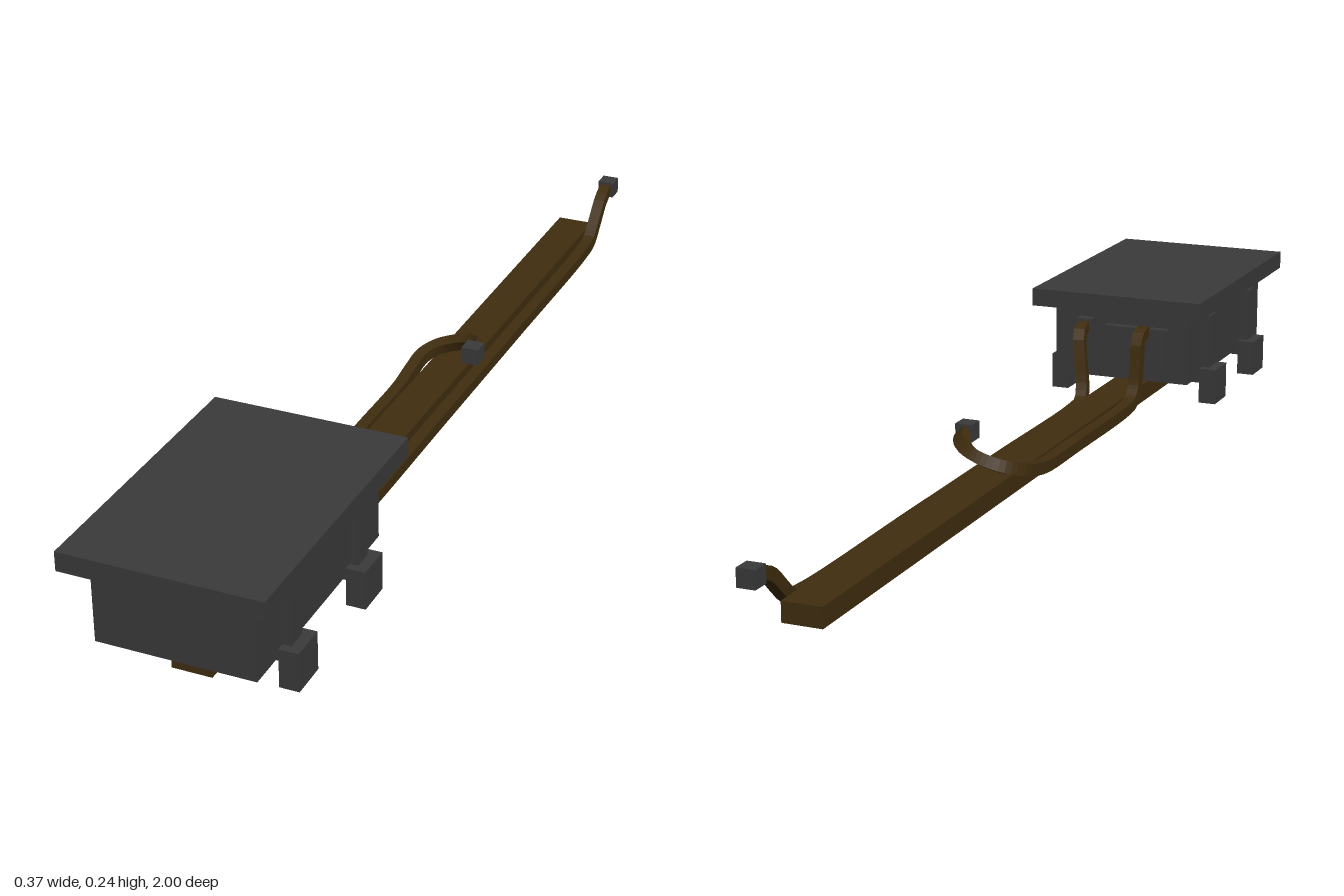
import * as THREE from 'three';

const grey = new THREE.MeshStandardMaterial({ color: 0x3a3a3a });
grey.name = 'dark grey';
const brown = new THREE.MeshStandardMaterial({ color: 0x402d0f });
brown.name = 'dark brown';

// Box given by its extents on each axis
function block(name, material, [x0, x1], [y0, y1], [z0, z1]) {
  const mesh = new THREE.Mesh(new THREE.BoxGeometry(x1 - x0, y1 - y0, z1 - z0), material);
  mesh.position.set((x0 + x1) / 2, (y0 + y1) / 2, (z0 + z1) / 2);
  mesh.name = name;
  return mesh;
}

// Square-section cable swept along a smooth path
function cable(name, points, half = 0.0115, steps = 90) {
  const curve = new THREE.CatmullRomCurve3(points.map(p => new THREE.Vector3(...p)), false, 'centripetal');
  const { normals, binormals } = curve.computeFrenetFrames(steps, false);
  const corners = [[1, 1], [-1, 1], [-1, -1], [1, -1]];
  const rings = [];
  for (let i = 0; i <= steps; i++) {
    const centre = curve.getPointAt(i / steps);
    rings.push(corners.map(([a, b]) => centre.clone()
      .addScaledVector(normals[i], a * half)
      .addScaledVector(binormals[i], b * half)));
  }
  const positions = [];
  const quad = (a, b, c, d) => {
    for (const v of [a, b, c, a, c, d]) positions.push(v.x, v.y, v.z);
  };
  for (let i = 0; i < steps; i++) {
    for (let j = 0; j < 4; j++) {
      const k = (j + 1) % 4;
      quad(rings[i][j], rings[i][k], rings[i + 1][k], rings[i + 1][j]);
    }
  }
  const [a, b, c, d] = rings[0];
  quad(d, c, b, a);
  quad(...rings[steps]);
  const geometry = new THREE.BufferGeometry();
  geometry.setAttribute('position', new THREE.Float32BufferAttribute(positions, 3));
  geometry.computeVertexNormals();
  const mesh = new THREE.Mesh(geometry, brown);
  mesh.name = name;
  return mesh;
}

export function createModel() {
  const model = new THREE.Group();
  model.name = 'junctionBoxOnRail';

  // Housing
  model.add(
    block('housing', grey, [-0.145, 0.145], [0.055, 0.205], [0.491, 0.96]),
    block('lid', grey, [-0.183, 0.183], [0.202, 0.238], [0.452, 1]),
    block('rearPanel', grey, [-0.105, 0.03], [0.09, 0.17], [0.474, 0.495]),
    block('rearSocket', grey, [0.058, 0.092], [0.145, 0.18], [0.47, 0.495]),
  );

  // Two straddling frames: feet, uprights and a crossbar under the housing
  for (const z of [0.854, 0.597]) {
    const frame = new THREE.Group();
    frame.name = 'supportFrame';
    frame.add(block('crossbar', grey, [-0.15, 0.15], [0.038, 0.073], [z - 0.018, z + 0.018]));
    for (const s of [-1, 1]) {
      const span = (a, b) => (s > 0 ? [a, b] : [-b, -a]);
      frame.add(
        block('foot', grey, span(0.147, 0.183), [0, 0.073], [z - 0.035, z + 0.035]),
        block('upright', grey, span(0.14, 0.163), [0.06, 0.183], [z - 0.019, z + 0.019]),
      );
    }
    model.add(frame);
  }

  // Long rail
  model.add(block('rail', brown, [-0.037, 0.037], [0, 0.037], [-0.915, 0.908]));

  // Long cable on the left side, ending behind the rail
  model.add(cable('longCable', [
    [0.075, 0.162, 0.482], [0.075, 0.162, 0.46], [0.073, 0.15, 0.443],
    [0.068, 0.11, 0.434], [0.058, 0.045, 0.422], [0.054, 0.02, 0.402],
    [0.053, 0.0145, 0.36], [0.053, 0.0145, 0], [0.053, 0.0145, -0.4],
    [0.053, 0.0145, -0.8], [0.053, 0.022, -0.855], [0.052, 0.05, -0.89],
    [0.051, 0.082, -0.925], [0.05, 0.097, -0.955], [0.05, 0.1, -0.975],
  ]));
  model.add(block('longCablePlug', grey, [0.033, 0.067], [0.083, 0.116], [-1, -0.965]));

  // Short cable on the right side, looping across the rail
  model.add(cable('loopCable', [
    [-0.055, 0.162, 0.482], [-0.055, 0.162, 0.46], [-0.055, 0.15, 0.443],
    [-0.055, 0.11, 0.436], [-0.055, 0.055, 0.425], [-0.055, 0.032, 0.402],
    [-0.055, 0.026, 0.36], [-0.055, 0.026, 0.1], [-0.055, 0.028, -0.06],
    [-0.055, 0.038, -0.12], [-0.05, 0.05, -0.165], [-0.03, 0.06, -0.192],
    [0, 0.07, -0.202], [0.035, 0.082, -0.198], [0.06, 0.092, -0.175],
    [0.069, 0.098, -0.148], [0.071, 0.099, -0.13],
  ]));
  model.add(block('loopCablePlug', grey, [0.054, 0.088], [0.083, 0.116], [-0.143, -0.108]));

  return model;
}
